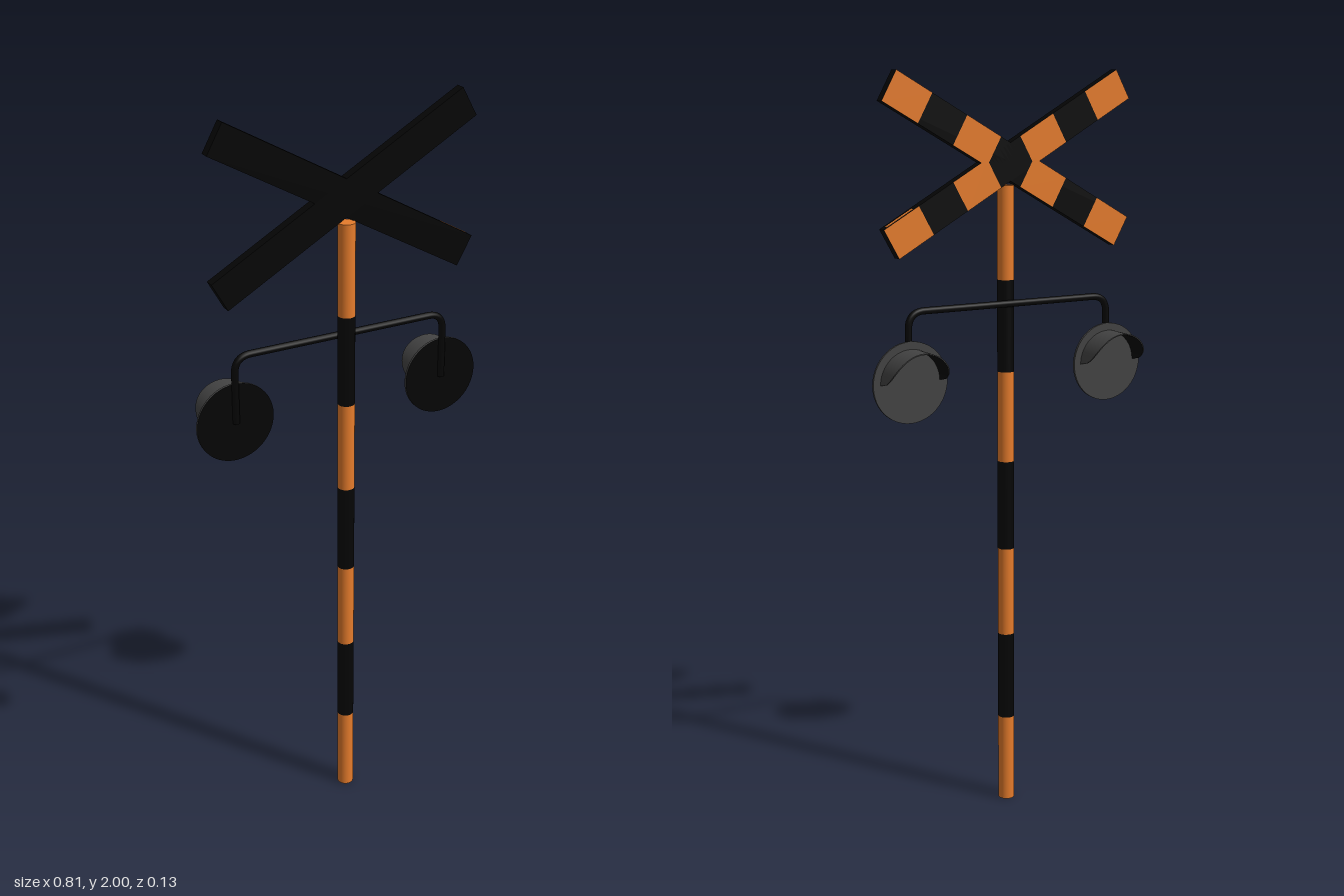
import * as THREE from 'three';

export function createModel() {
  const model = new THREE.Group();
  const orange = new THREE.MeshStandardMaterial({ color: 0xe67c2c });
  orange.name = 'orange';
  const black = new THREE.MeshStandardMaterial({ color: 0x050505 });
  black.name = 'black';
  const grey = new THREE.MeshStandardMaterial({ color: 0x434343 });
  grey.name = 'darkGrey';

  const add = (parent, name, geometry, material, x = 0, y = 0, z = 0) => {
    const mesh = new THREE.Mesh(geometry, material);
    mesh.name = name;
    mesh.position.set(x, y, z);
    parent.add(mesh);
    return mesh;
  };

  // Striped pole, built from seven equal bands
  const band = 1.71 / 7;
  for (let i = 0; i < 7; i++) {
    const colour = i % 2 ? black : orange;
    const ends = i === 0 ? [colour, colour, black] : colour;
    add(model, 'poleBand', new THREE.CylinderGeometry(0.0225, 0.0225, band, 24), ends, 0, band * (i + 0.5), 0.0435);
  }

  // Crossed boards: black, with orange stripes on the back face
  const length = 0.79, width = 0.085, depth = 0.026, stripe = length / 7;
  for (const side of [1, -1]) {
    const board = new THREE.Group();
    board.name = side > 0 ? 'risingBoard' : 'fallingBoard';
    board.position.set(0, 1.77, 0.0305);
    board.rotation.z = side * 0.511;
    add(board, 'boardCore', new THREE.BoxGeometry(length, width, depth), black);
    for (let i = -3; i <= 3; i += 2) {
      const face = add(board, 'boardStripe', new THREE.PlaneGeometry(stripe, width), orange, i * stripe, 0, -depth / 2 - 0.001);
      face.rotation.y = Math.PI;
    }
    // Short orange mark on the upper edge of one board
    if (side < 0) add(board, 'edgeMark', new THREE.BoxGeometry(0.085, 0.001, depth * 0.4), orange, 0.34, width / 2, -0.003);
    model.add(board);
  }

  // Bent pipe carrying both lamps
  const px = 0.301, top = 1.405, bend = 0.045, low = 1.225, pz = 0.0185, pr = 0.0092;
  const p = (x, y) => new THREE.Vector3(x, y, pz);
  const path = new THREE.CurvePath();
  path.add(new THREE.LineCurve3(p(-px, low), p(-px, top - bend)));
  path.add(new THREE.QuadraticBezierCurve3(p(-px, top - bend), p(-px, top), p(-px + bend, top)));
  path.add(new THREE.LineCurve3(p(-px + bend, top), p(px - bend, top)));
  path.add(new THREE.QuadraticBezierCurve3(p(px - bend, top), p(px, top), p(px, top - bend)));
  path.add(new THREE.LineCurve3(p(px, top - bend), p(px, low)));
  add(model, 'lampPipe', new THREE.TubeGeometry(path, 120, pr, 12), black);

  // Half-round hood surface, sweeping from radius r0 to r1 and depth share d0 to d1;
  // its length shrinks to nothing at its sides
  const hood = (r0, r1, d0, d1) => {
    const g = new THREE.PlaneGeometry(1, 1, 40, 8);
    const pos = g.attributes.position;
    for (let i = 0; i < pos.count; i++) {
      const angle = (pos.getX(i) + 0.5) * Math.PI;
      const t = pos.getY(i) + 0.5;
      const h = Math.sin(angle);
      const reach = 0.077 * Math.sqrt(Math.max(0, 1 - (1 - h) ** 2));
      const r = r0 + (r1 - r0) * t;
      pos.setXYZ(i, -r * Math.cos(angle), r * h, -(d0 + (d1 - d0) * t) * reach);
    }
    g.computeVertexNormals();
    return g;
  };

  // Lamps facing the back
  const outer = 0.086, inner = 0.083;
  for (const side of [1, -1]) {
    const lamp = new THREE.Group();
    lamp.name = side > 0 ? 'leftLamp' : 'rightLamp';
    lamp.position.set(side * px, low, 0);
    const disc = add(lamp, 'lampDisc', new THREE.CylinderGeometry(0.106, 0.106, 0.007, 48), [grey, black, grey], 0, 0, 0.0125);
    disc.rotation.x = Math.PI / 2;
    add(lamp, 'pipeEnd', new THREE.CylinderGeometry(pr, pr, 0.002, 12), black, 0, 0, pz);
    add(lamp, 'hoodOutside', hood(outer, outer, 0, 1), grey, 0, 0, 0.009);
    add(lamp, 'hoodRim', hood(outer, inner, 1, 1), grey, 0, 0, 0.009);
    add(lamp, 'hoodInside', hood(inner, inner, 1, 0), black, 0, 0, 0.009);
    model.add(lamp);
  }
  return model;
}
